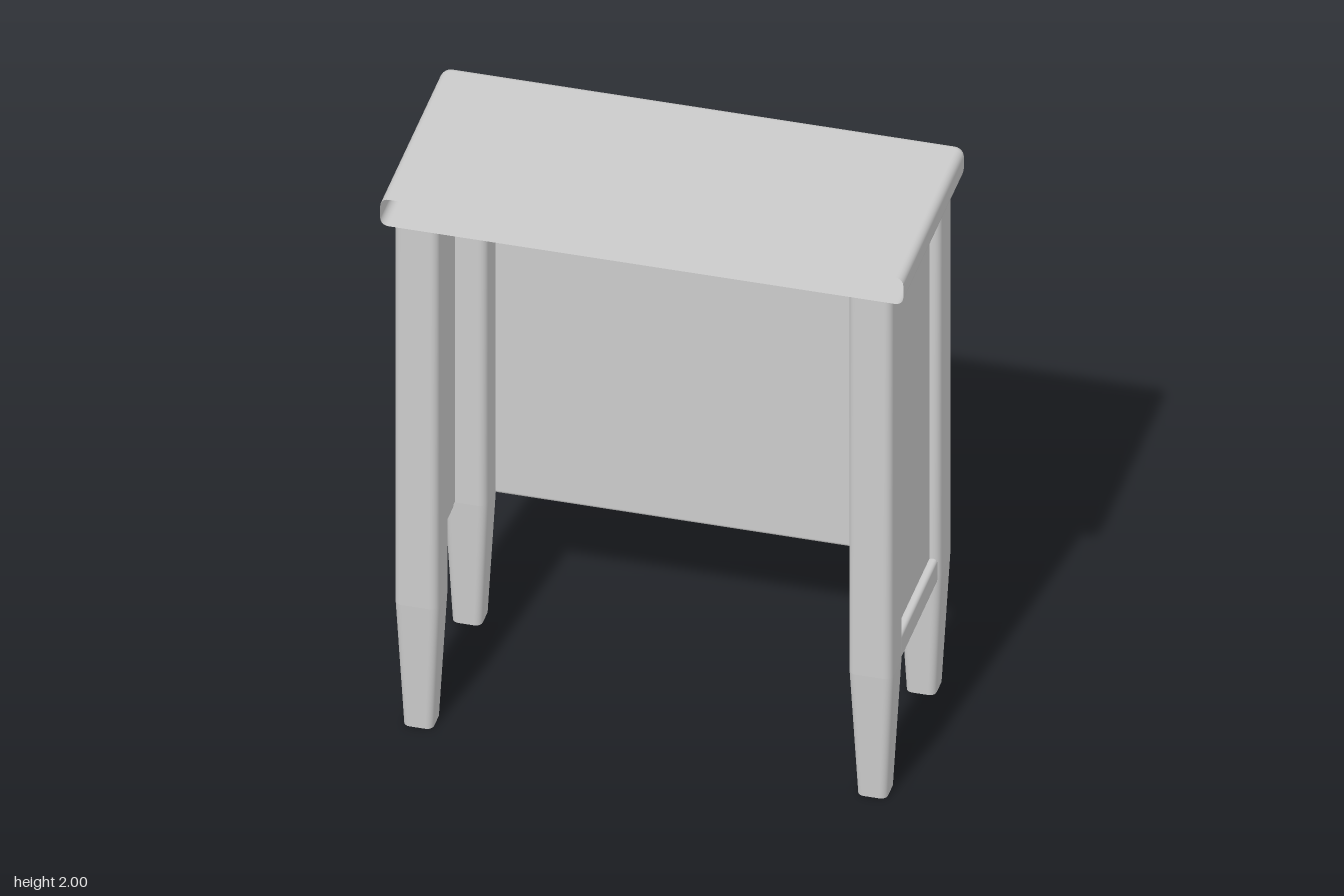
import * as THREE from 'three';
import { RoundedBoxGeometry } from 'three/addons/geometries/RoundedBoxGeometry.js';

const material = new THREE.MeshStandardMaterial({ color: 0xcccccc, side: THREE.DoubleSide });

// Skin a surface through rings of [x, y, z] points, listed from bottom to top
function loft(rings, closed) {
  const n = rings[0].length;
  const index = [];
  for (let k = 0; k < rings.length - 1; k++) {
    for (let i = 0; i < (closed ? n : n - 1); i++) {
      const j = (i + 1) % n;
      const a = k * n + i, b = k * n + j, c = a + n, d = b + n;
      index.push(a, b, d, a, d, c);
    }
  }
  const geometry = new THREE.BufferGeometry();
  geometry.setAttribute('position', new THREE.Float32BufferAttribute(rings.flat(2), 3));
  geometry.setIndex(index);
  geometry.computeVertexNormals();
  return geometry;
}

// Rounded corner points, counterclockwise seen from above
function corner(cx, cz, r, start, y, steps = 5) {
  return Array.from({ length: steps + 1 }, (_, i) => {
    const a = start + (i / steps) * Math.PI / 2;
    return [cx + r * Math.cos(a), y, cz - r * Math.sin(a)];
  });
}

// Rounded rectangle ring
function legRing(cx, cz, w, d, r, y) {
  const x = w / 2 - r, z = d / 2 - r, q = Math.PI / 2;
  return [
    ...corner(cx + x, cz - z, r, 0, y),
    ...corner(cx - x, cz - z, r, q, y),
    ...corner(cx - x, cz + z, r, 2 * q, y),
    ...corner(cx + x, cz + z, r, 3 * q, y),
  ];
}

// Hollow leg: straight post above, tapered foot below
function legGeometry(x, z) {
  const foot = loft([legRing(x, z, 0.095, 0.1, 0.022, 0), legRing(x, z, 0.14, 0.146, 0.026, 0.47)], true);
  const post = loft([legRing(x, z, 0.14, 0.146, 0.026, 0.47), legRing(x, z, 0.14, 0.146, 0.026, 1.9)], true);
  return [foot, post];
}

// Hollow top slab with rounded sides and back, open along the front
function topGeometry() {
  const halfWidth = 0.84, back = -0.377, front = 0.376, y0 = 1.9, y1 = 2, edge = 0.026, r = 0.034;
  const ring = (inset, y) => [
    [halfWidth - inset, y, front],
    ...corner(halfWidth - r, back + r, r - inset, 0, y),
    ...corner(-halfWidth + r, back + r, r - inset, Math.PI / 2, y),
    [-halfWidth + inset, y, front],
  ];
  const steps = 5;
  const lower = [], upper = [];
  for (let i = 0; i <= steps; i++) {
    const a = (i / steps) * Math.PI / 2;
    lower.push(ring(edge * (1 - Math.sin(a)), y0 + edge * (1 - Math.cos(a))));
    upper.push(ring(edge * (1 - Math.cos(a)), y1 - edge * (1 - Math.sin(a))));
  }
  const centre = (y) => lower[0].map(() => [0, y, front]);
  return loft([centre(y0), ...lower, ...upper, centre(y1)], false);
}

export function createModel() {
  const group = new THREE.Group();
  const add = (name, geometry, x = 0, y = 0, z = 0, parent = group) => {
    const mesh = new THREE.Mesh(geometry, material);
    mesh.name = name;
    mesh.position.set(x, y, z);
    parent.add(mesh);
    return mesh;
  };

  add('top', topGeometry());

  // Four legs
  for (const [depth, z] of [['front', 0.294], ['back', -0.288]]) {
    for (const [side, x] of [['Left', 0.729], ['Right', -0.729]]) {
      const leg = new THREE.Group();
      leg.name = `${depth}${side}Leg`;
      const [foot, post] = legGeometry(x, z);
      add('foot', foot, 0, 0, 0, leg);
      add('post', post, 0, 0, 0, leg);
      group.add(leg);
    }
  }

  // Back panel with its bottom rail
  add('backPanel', new THREE.BoxGeometry(1.34, 1.425, 0.008), 0, 1.1875, -0.33);
  add('backRail', new RoundedBoxGeometry(1.33, 0.09, 0.03, 3, 0.012), 0, 0.493, -0.341);

  // Side panels with their bottom rails
  for (const [side, s] of [['left', 1], ['right', -1]]) {
    add(`${side}Panel`, new THREE.BoxGeometry(0.008, 1.425, 0.45), s * 0.762, 1.1875, 0.003);
    add(`${side}Rail`, new RoundedBoxGeometry(0.03, 0.09, 0.445, 3, 0.012), s * 0.777, 0.493, 0.003);
  }

  return group;
}
